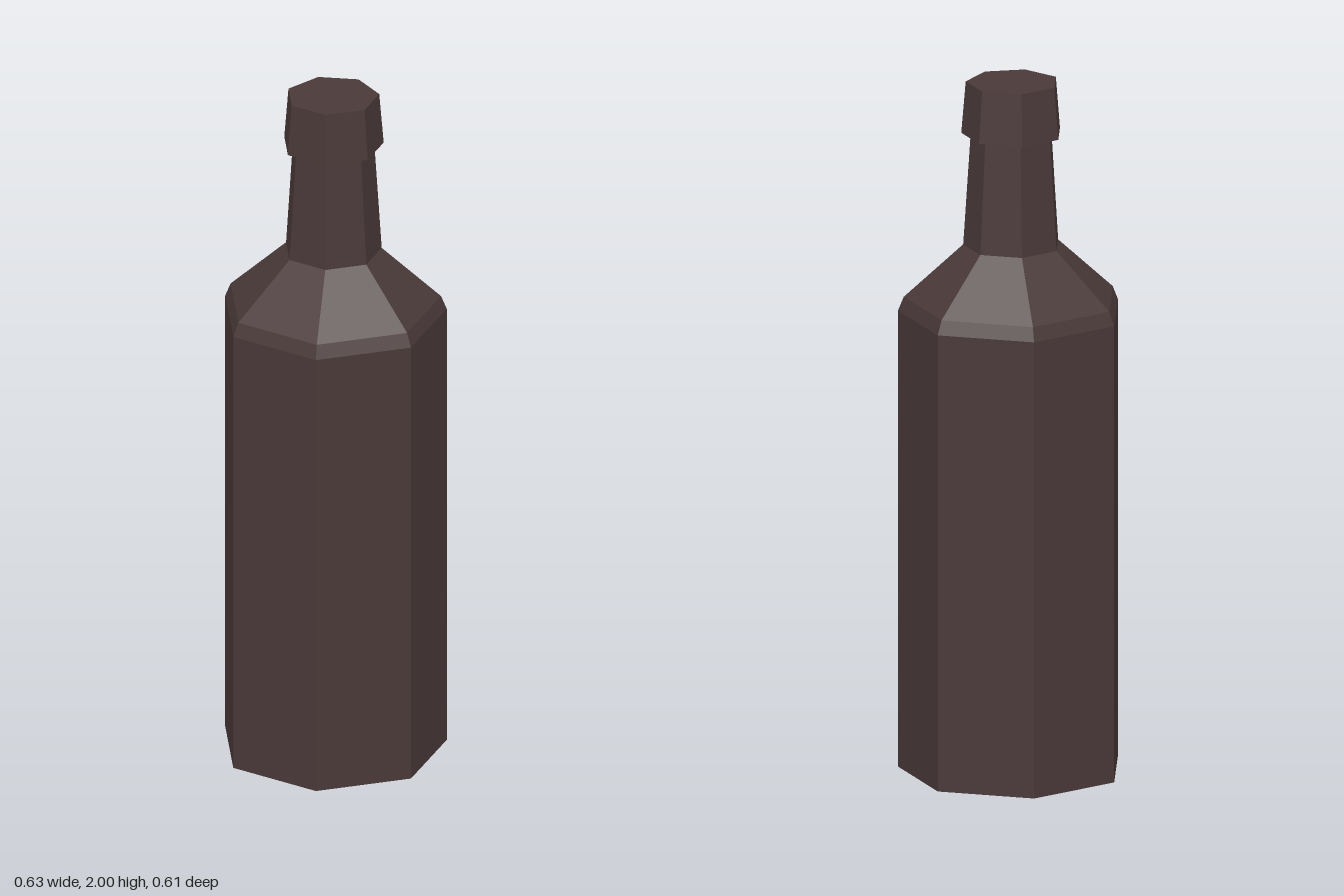
import * as THREE from 'three';

const SIDES = 7;

export function createModel() {
  const model = new THREE.Group();
  model.name = 'bottle';
  const darkGlass = new THREE.MeshStandardMaterial({ color: 0x4a3939, flatShading: true });
  darkGlass.name = 'darkBrownGlass';

  // Seven-sided part turned from [radius, height] points, with one corner at the back
  const addTurned = (name, profile) => {
    const points = profile.map(([r, y]) => new THREE.Vector2(r, y));
    const mesh = new THREE.Mesh(new THREE.LatheGeometry(points, SIDES, Math.PI), darkGlass);
    mesh.name = name;
    mesh.position.z = 0.015; // centres the odd-sided outline in depth
    model.add(mesh);
  };

  // Closed base, straight wall, small bevel and sloping shoulder
  addTurned('body', [[0, 0], [0.322, 0], [0.322, 1.33], [0.306, 1.37], [0.139, 1.525]]);

  // Slightly tapered neck
  addTurned('neck', [[0.139, 1.525], [0.118, 1.85]]);

  // Overhanging cap with flat underside and top
  addTurned('cap', [[0.118, 1.85], [0.1445, 1.85], [0.132, 2], [0, 2]]);

  return model;
}
